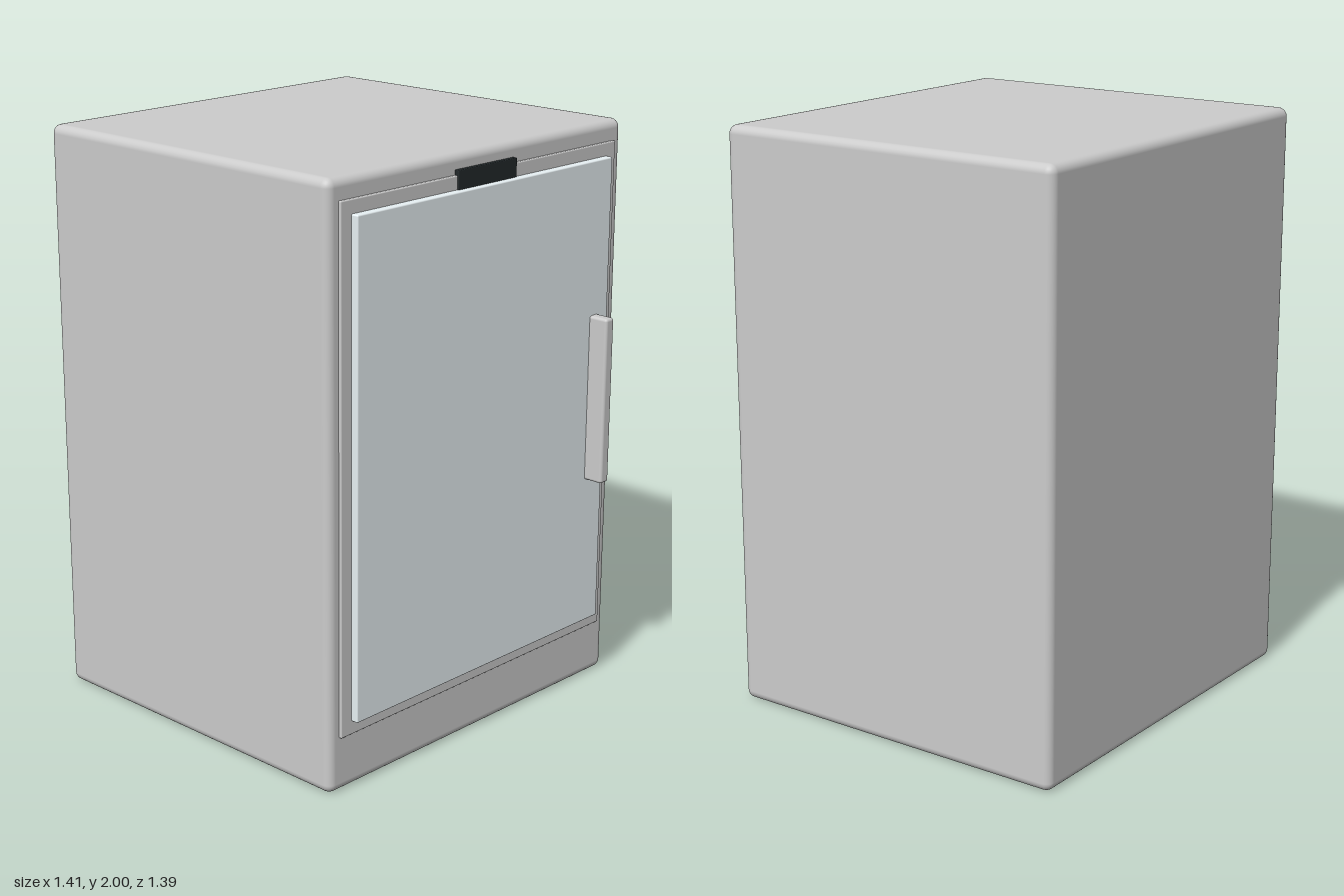
import * as THREE from 'three';
import { RoundedBoxGeometry } from 'three/addons/geometries/RoundedBoxGeometry.js';

export function createModel() {
  const group = new THREE.Group();
  const grey = new THREE.MeshStandardMaterial({ color: 0xcccccc });
  const glass = new THREE.MeshStandardMaterial({ color: 0xe8f1f4 });
  const black = new THREE.MeshStandardMaterial({ color: 0x22282a });

  // Rounded block given by its extents on each axis
  function block(name, [x0, x1], [y0, y1], [z0, z1], radius, material) {
    const geometry = new RoundedBoxGeometry(x1 - x0, y1 - y0, z1 - z0, 3, radius);
    const mesh = new THREE.Mesh(geometry, material);
    mesh.position.set((x0 + x1) / 2, (y0 + y1) / 2, (z0 + z1) / 2);
    mesh.name = name;
    group.add(mesh);
  }

  // Cabinet with softened edges
  block('cabinet', [-0.703, 0.703], [0, 2], [-0.697, 0.59], 0.03, grey);

  // Shallow raised surround, with the door standing proud of it
  block('doorSurround', [-0.657, 0.657], [0.19, 1.93], [0.57, 0.6], 0.004, grey);
  block('door', [-0.612, 0.612], [0.237, 1.885], [0.58, 0.626], 0.005, glass);

  // Control display, tucked behind the top edge of the door
  block('display', [-0.14, 0.14], [1.82, 1.947], [0.58, 0.606], 0.003, black);

  // Upright grip on the model's left side of the door
  block('handle', [0.518, 0.56], [0.77, 1.355], [0.61, 0.697], 0.01, grey);

  return group;
}
